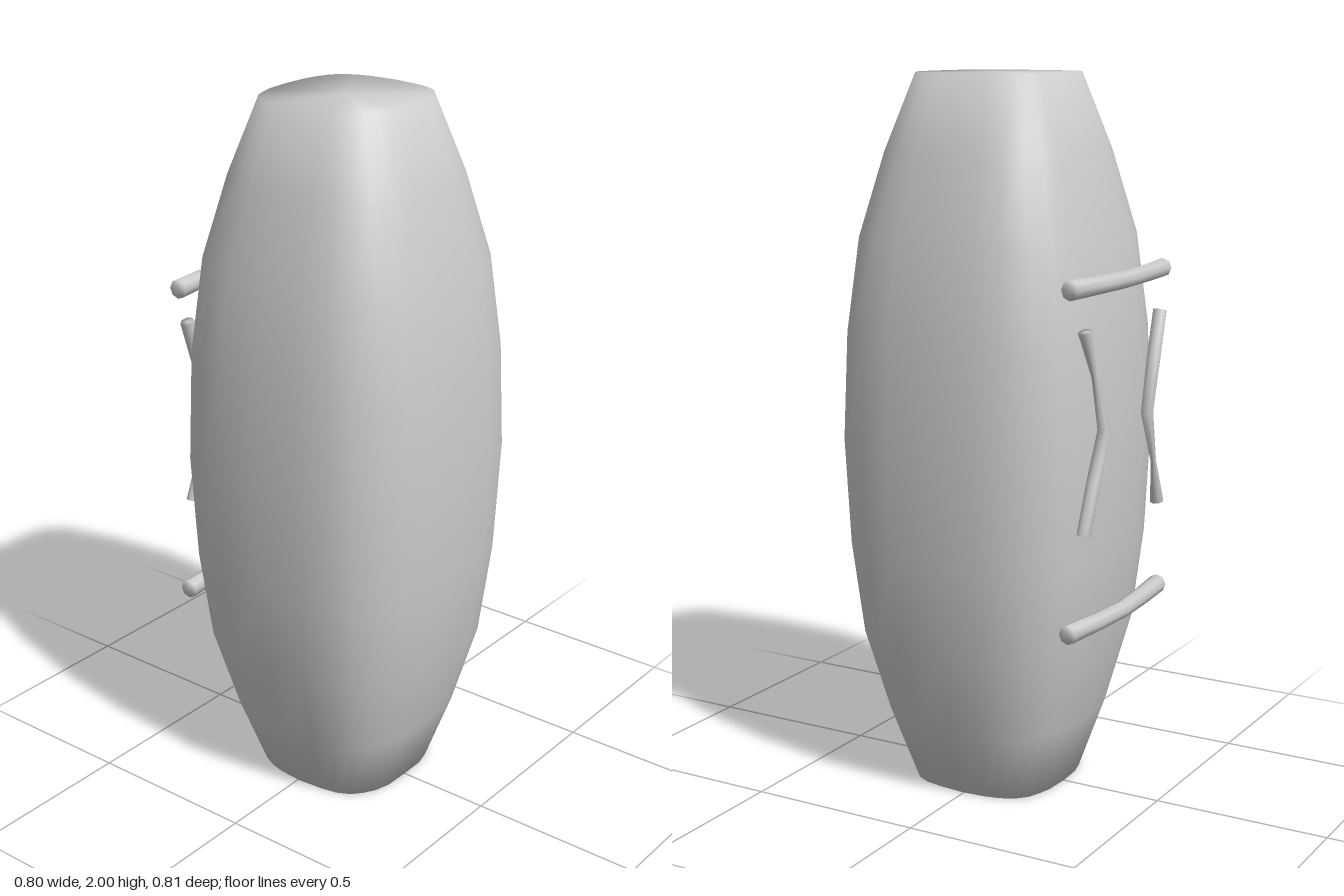
import * as THREE from 'three';

const material = new THREE.MeshStandardMaterial({ color: 0xcccccc });

// Skin a list of equal-sized rings ([x, y, z] points, counter-clockwise seen
// from the end the rings run towards), closing both ends with smooth fans.
function loft(rings, name) {
  const n = rings[0].length;
  const positions = rings.flat();
  const index = [];
  for (let r = 0; r < rings.length - 1; r++) {
    for (let i = 0; i < n; i++) {
      const a = r * n + i, b = r * n + (i + 1) % n;
      index.push(a, b, b + n, a, b + n, a + n);
    }
  }
  const centre = ring => [0, 1, 2].map(k => ring.reduce((s, p) => s + p[k], 0) / n);
  const first = positions.push(centre(rings[0])) - 1;
  const last = positions.push(centre(rings[rings.length - 1])) - 1;
  const top = (rings.length - 1) * n;
  for (let i = 0; i < n; i++) {
    const j = (i + 1) % n;
    index.push(first, j, i, last, top + i, top + j);
  }
  const geometry = new THREE.BufferGeometry();
  geometry.setAttribute('position', new THREE.Float32BufferAttribute(positions.flat(), 3));
  geometry.setIndex(index);
  geometry.computeVertexNormals();
  const mesh = new THREE.Mesh(geometry, material);
  mesh.name = name;
  return mesh;
}

// Round rod following stations of [x, y, z, radius]; mitred at the bends.
function rod(stations, name, sides = 8) {
  const pts = stations.map(s => new THREE.Vector3(s[0], s[1], s[2]));
  const rings = pts.map((p, i) => {
    const dir = pts[Math.min(i + 1, pts.length - 1)].clone().sub(pts[Math.max(i - 1, 0)]).normalize();
    const u = new THREE.Vector3(0, 0, 1).cross(dir).normalize();
    const v = dir.clone().cross(u);
    return Array.from({ length: sides }, (_, k) => {
      const t = k / sides * Math.PI * 2;
      return p.clone().addScaledVector(u, Math.cos(t) * stations[i][3])
        .addScaledVector(v, Math.sin(t) * stations[i][3]).toArray();
    });
  });
  return loft(rings, name);
}

export function createModel() {
  const model = new THREE.Group();
  model.name = 'barrelPod';

  // Rounded-square section, half outline from front to back, then mirrored
  const half = [
    [0, 0.405], [0.14, 0.402], [0.225, 0.378], [0.285, 0.342], [0.335, 0.297], [0.37, 0.23],
    [0.388, 0.14], [0.4, 0], [0.39, -0.13], [0.37, -0.21], [0.335, -0.28], [0.28, -0.328],
    [0.22, -0.35], [0.14, -0.37], [0, -0.378],
  ];
  const section = [...half, ...half.slice(1, -1).reverse().map(([x, z]) => [-x, z])];

  // Height and half-width of each body ring
  const profile = [
    [0, 0.22], [0.2, 0.289], [0.44, 0.355], [0.7, 0.386], [1, 0.4],
    [1.3, 0.388], [1.56, 0.355], [1.79, 0.289], [2, 0.21],
  ];
  const midZ = 0.01;
  model.add(loft(profile.map(([y, w]) =>
    section.map(([x, z]) => [x * w / 0.4, y, midZ + (z - midZ) * w / 0.4])), 'body'));

  // Two slightly bowed bars across the back
  for (const [y, name] of [[1.46, 'upperBar'], [0.54, 'lowerBar']]) {
    model.add(rod([
      [-0.277, y, -0.357, 0.027], [-0.14, y, -0.372, 0.025], [0, y, -0.381, 0.024],
      [0.14, y, -0.372, 0.025], [0.277, y, -0.357, 0.027],
    ], name));
  }

  // Pair of bent brackets, apex inwards; one arm of each is pinched.
  // The right one is the left one turned half way round.
  const midY = 1.075;
  for (const [s, name] of [[1, 'leftBracket'], [-1, 'rightBracket']]) {
    model.add(rod([
      [0.225, 0.273, -0.376, 0.02], [0.185, 0.15, -0.383, 0.008], [0.132, 0, -0.386, 0.018],
      [0.18, -0.14, -0.38, 0.02], [0.225, -0.273, -0.376, 0.02],
    ].map(([x, y, z, r]) => [s * x, midY + s * y, z, r]), name));
  }
  return model;
}
